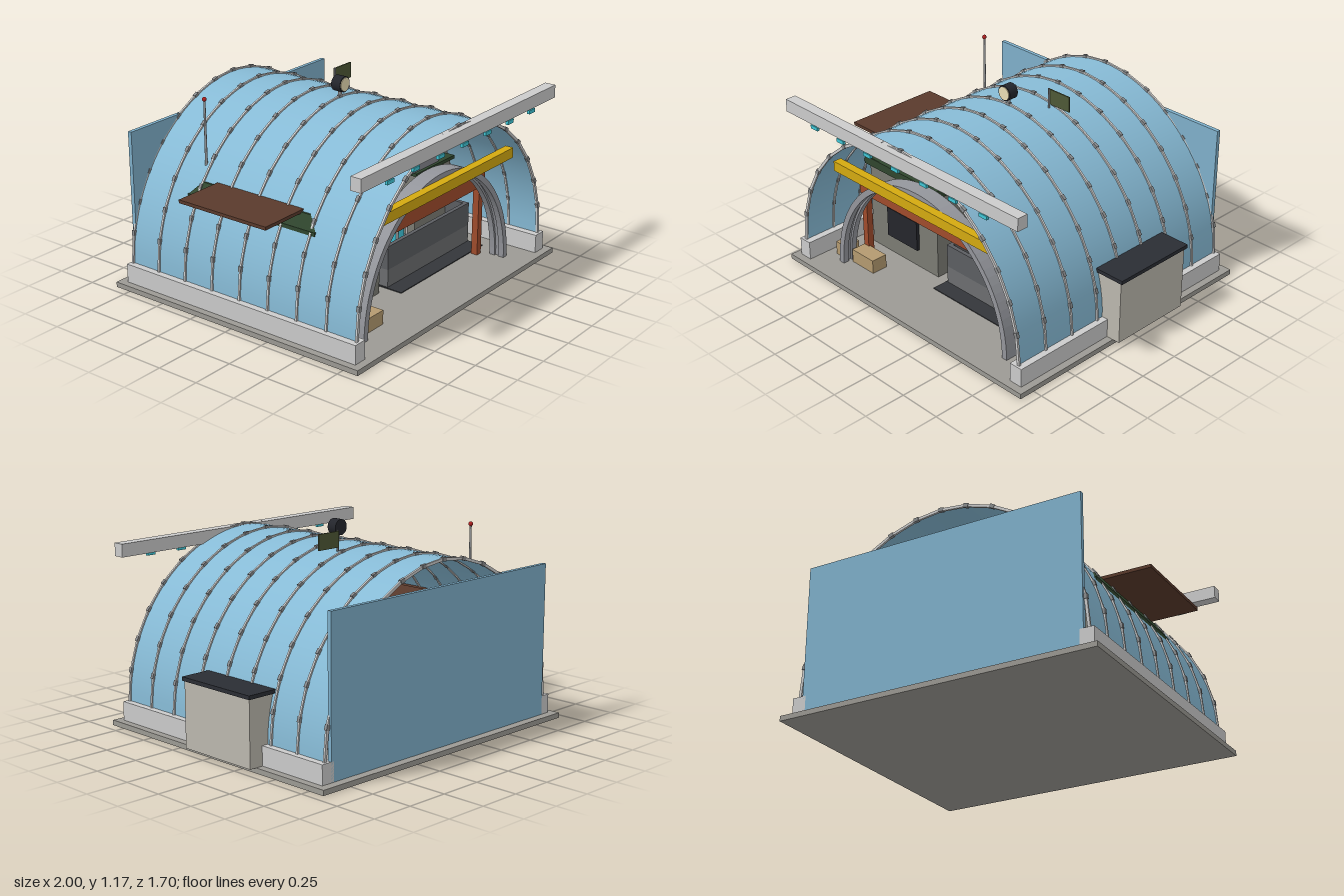
import * as THREE from 'three';

const CX = -0.006; // centre line of the hall

export function createModel() {
  const root = new THREE.Group();
  const mats = {};
  const mat = (color, double = false) => (mats[color + '_' + double] ??= new THREE.MeshStandardMaterial({
    color, side: double ? THREE.DoubleSide : THREE.FrontSide }));
  const add = (name, geo, color, x = 0, y = 0, z = 0, parent = root, double = false) => {
    const m = new THREE.Mesh(geo, mat(color, double));
    m.name = name;
    m.position.set(x, y, z);
    parent.add(m);
    return m;
  };
  // Box given by its limits
  const box = (name, color, x0, x1, y0, y1, z0, z1) => add(name,
    new THREE.BoxGeometry(x1 - x0, y1 - y0, z1 - z0), color, (x0 + x1) / 2, (y0 + y1) / 2, (z0 + z1) / 2);
  const cyl = (name, color, r0, r1, h, x, y, z, sides = 20) =>
    add(name, new THREE.CylinderGeometry(r0, r1, h, sides), color, x, y, z);
  const ball = (name, color, r, x, y, z) => add(name, new THREE.SphereGeometry(r, 16, 12), color, x, y, z);

  // Ground slab and side plinths
  box('groundSlab', 0x9c9a94, -0.955, 0.945, 0, 0.03, -0.85, 0.845);
  for (const s of [-1, 1]) {
    const x = CX + s * 0.868;
    box('sidePlinth', 0xcccccc, x - 0.041, x + 0.041, 0.03, 0.14, -0.8, 0.8);
  }

  // Barrel vault shell
  const vault = (t, grow = 0) => {
    const c = Math.cos(t);
    return [CX + Math.sign(c) * Math.abs(c) ** 1.05 * (0.87 + grow), 0.14 + Math.sin(t) * (0.905 + grow)];
  };
  const shellGeo = new THREE.PlaneGeometry(1, 1.56, 48, 1);
  const p = shellGeo.attributes.position;
  for (let i = 0; i < p.count; i++) {
    const [x, y] = vault(Math.PI * (0.5 - p.getX(i)));
    p.setXYZ(i, x, y, -p.getY(i));
  }
  shellGeo.computeVertexNormals();
  add('vaultShell', shellGeo, 0x87bbd6, 0, 0, 0, root, true);

  // Segmented ribs with joint sleeves
  const SEG = 16;
  for (let r = 0; r < 9; r++) {
    const rib = new THREE.Group();
    rib.name = 'vaultRib';
    rib.position.z = -0.782 + r * 0.1955;
    for (let i = 0; i < SEG; i++) {
      const [x0, y0] = vault(Math.PI * i / SEG, 0.004);
      const [x1, y1] = vault(Math.PI * (i + 1) / SEG, 0.004);
      const angle = Math.atan2(y1 - y0, x1 - x0);
      const bar = add('ribBar', new THREE.BoxGeometry(Math.hypot(x1 - x0, y1 - y0), 0.016, 0.012),
        0xc4c6c8, (x0 + x1) / 2, (y0 + y1) / 2, 0, rib);
      bar.rotation.z = angle;
      if (i) add('ribJoint', new THREE.BoxGeometry(0.03, 0.022, 0.018), 0x8a8c8e, x0, y0, 0, rib).rotation.z = angle;
    }
    root.add(rib);
  }

  // Back wall
  box('backWall', 0x7fb0cb, -0.855, 0.84, 0.03, 0.91, -0.8, -0.776);

  // Front lighting beam with lamps below
  box('frontBeam', 0xcccccc, -0.915, 0.905, 0.97, 1.045, 0.765, 0.83);
  for (let i = -3; i <= 3; i++) {
    const x = CX + i * 0.222;
    box('beamLamp', 0x40c8d8, x - 0.028, x + 0.028, 0.945, 0.966, 0.815, 0.832);
  }

  // Roof searchlight
  cyl('searchlightPost', 0x909294, 0.01, 0.01, 0.2, CX, 1.0, 0);
  cyl('searchlightBody', 0x24262c, 0.045, 0.045, 0.06, CX, 1.125, 0.003, 24).rotation.x = Math.PI / 2;
  cyl('searchlightLens', 0xe8dcb4, 0.038, 0.038, 0.006, CX, 1.125, 0.034, 24).rotation.x = Math.PI / 2;

  // Roof sign and warning mast
  cyl('signPost', 0x808284, 0.006, 0.006, 0.25, 0.15, 1.02, -0.157, 8);
  box('roofSign', 0x4e5836, 0.15, 0.3, 1.05, 1.14, -0.166, -0.158);
  cyl('warningMast', 0x9a9c9e, 0.006, 0.008, 0.44, -0.643, 0.885, -0.425, 10);
  ball('warningLight', 0xb02020, 0.013, -0.643, 1.115, -0.425);

  // Side canopy and side hut
  box('sideCanopy', 0x5a3a2c, -1, -0.65, 0.663, 0.682, -0.3, 0.295);
  box('sideHut', 0xbcb8ae, 0.64, 0.988, 0.03, 0.405, -0.36, 0.15);
  box('sideHutRoof', 0x2a2d34, 0.64, 1, 0.405, 0.427, -0.372, 0.157);

  // Entrance arch: two curved bands side by side
  const archBand = (depth, z, w) => {
    const s = new THREE.Shape();
    s.absellipse(0, 0.03, 0.69, 0.73, 0, Math.PI, false);
    s.lineTo(-0.69 + w, 0.03);
    s.absellipse(0, 0.03, 0.69 - w, 0.73 - w, Math.PI, 0, true);
    s.closePath();
    add('entranceArch', new THREE.ExtrudeGeometry(s, { depth, bevelEnabled: false, curveSegments: 24 }),
      0x94969c, CX, 0, z);
  };
  archBand(0.035, 0.595, 0.035);
  archBand(0.035, 0.655, 0.035);
  archBand(0.025, 0.63, 0.022);
  for (const s of [-1, 1]) box('archFoot', 0x77797c, CX + s * 0.7 - 0.02, CX + s * 0.7 + 0.02, 0.03, 0.2, 0.58, 0.62);

  // Portal frame and crane beam
  box('portalLintel', 0xa04c2c, -0.64, 0.625, 0.46, 0.56, 0.5, 0.56);
  box('portalPost', 0xa04c2c, -0.64, -0.6, 0.03, 0.46, 0.51, 0.55);
  box('portalPost', 0xa04c2c, 0.585, 0.625, 0.03, 0.46, 0.51, 0.55);
  box('craneBeam', 0xd4aa10, -0.635, 0.625, 0.67, 0.73, 0.69, 0.74);

  // Left workshop with roof, screen and awning
  box('leftWorkshop', 0x7c7c74, -0.735, -0.17, 0.03, 0.55, -0.44, 0.4);
  box('leftWorkshopEave', 0x30462e, -0.762, -0.15, 0.55, 0.6, -0.46, 0.42);
  const hip = add('leftWorkshopRoof', new THREE.CylinderGeometry(0.6, 0.707, 1, 4, 1).rotateY(Math.PI / 4),
    0x30462e, -0.456, 0.635, -0.02);
  hip.scale.set(0.61, 0.07, 0.87);
  box('wallScreen', 0x24262c, -0.578, -0.325, 0.145, 0.33, 0.4, 0.42);
  box('wallAwning', 0x2c4660, -0.59, -0.305, 0.39, 0.46, 0.4, 0.45);

  // Right workshop and upper room
  box('rightWorkshop', 0x7c7c74, 0.375, 0.73, 0.03, 0.52, -0.4, 0.25);
  box('rightWorkshopRoof', 0x30462e, 0.36, 0.745, 0.52, 0.54, -0.42, 0.27);
  box('upperRoom', 0x86868e, 0.15, 0.61, 0.54, 0.68, -0.3, 0.25);

  // Mezzanine, doorway and back partition
  box('mezzanineFloor', 0x5a3a2c, -0.6, 0.6, 0.68, 0.7, -0.4, 0.35);
  for (const x of [-0.13, 0.12]) box('doorPost', 0x6a4028, x - 0.015, x + 0.015, 0.52, 0.68, 0.27, 0.3);
  const door = new THREE.Shape();
  door.moveTo(-0.11, 0);
  door.lineTo(0.11, 0);
  door.absellipse(0, 0.02, 0.11, 0.1, 0, Math.PI, false);
  add('doorway', new THREE.ExtrudeGeometry(door, { depth: 0.02, bevelEnabled: false }), 0x24262c, CX, 0.55, 0.26);
  box('backPartition', 0xd8d8d8, -0.17, 0.375, 0.03, 0.52, -0.3, -0.28);
  box('bluePanel', 0x2c4660, -0.17, 0.375, 0.18, 0.37, -0.28, -0.25);
  box('lightStrip', 0x40c8d8, -0.17, 0.375, 0.315, 0.328, -0.25, -0.24);

  // Display board and the pair of turrets on the mezzanine
  box('displayBoard', 0x4a5434, -0.195, 0.18, 0.7, 0.9, 0.18, 0.2);
  for (const [x, y] of [[-0.085, 0.82], [-0.05, 0.79], [-0.015, 0.82]])
    box('boardTile', 0xd8d8d0, x - 0.013, x + 0.013, y - 0.013, y + 0.013, 0.2, 0.206);
  for (const s of [-1, 1]) {
    const x = CX + s * 0.296;
    box('turretBody', 0xa04c2c, x - 0.052, x + 0.052, 0.7, 0.825, 0.2, 0.304);
    cyl('turretRoof', 0x4a3028, 0, 0.072, 0.085, x, 0.865, 0.252, 8);
  }
  box('speakerBox', 0x24262c, -0.25, -0.195, 0.7, 0.79, 0.2, 0.25);
  cyl('hornCone', 0xc4c6c8, 0.006, 0.025, 0.05, 0.225, 0.79, 0.25, 16).rotation.z = -Math.PI / 2;

  // Counter: open tray on a dark floor strip
  box('floorStrip', 0x34363a, -0.1, 0.72, 0.03, 0.035, 0.3, 0.5);
  box('counterBase', 0x6c6e70, -0.09, 0.715, 0.03, 0.14, 0, 0.4);
  box('counterFront', 0x5c5e62, -0.09, 0.715, 0.14, 0.28, 0.375, 0.4);
  box('counterBack', 0x5c5e62, -0.09, 0.715, 0.14, 0.28, 0, 0.025);
  for (const x of [-0.09, 0.69]) box('counterEnd', 0x5c5e62, x, x + 0.025, 0.14, 0.28, 0.025, 0.375);

  // Glowing tanks with caps and corner rods
  for (const x of [-0.008, 0.256]) {
    cyl('tankTube', 0x40c8dc, 0.05, 0.05, 0.24, x, 0.26, 0.2, 24);
    cyl('tankCap', 0x74787c, 0.075, 0.075, 0.035, x, 0.395, 0.2, 24);
    ball('tankLamp', 0x40c8dc, 0.022, x, 0.428, 0.2);
    for (let i = 0; i < 4; i++) {
      const a = Math.PI * (0.25 + i / 2);
      cyl('tankRod', 0xc4c6c8, 0.007, 0.007, 0.24, x + 0.065 * Math.cos(a), 0.26, 0.2 + 0.065 * Math.sin(a), 8);
    }
  }

  // Small cabinet and crates
  box('greenCabinet', 0x4e5836, -0.17, -0.095, 0.03, 0.15, 0.2, 0.32);
  box('cabinetLight', 0x40c8d8, -0.165, -0.1, 0.15, 0.17, 0.24, 0.28);
  box('crate', 0xb49a70, -0.775, -0.69, 0.03, 0.112, 0.55, 0.65);
  box('crate', 0xb49a70, -0.64, -0.46, 0.03, 0.112, 0.54, 0.64);

  return root;
}
